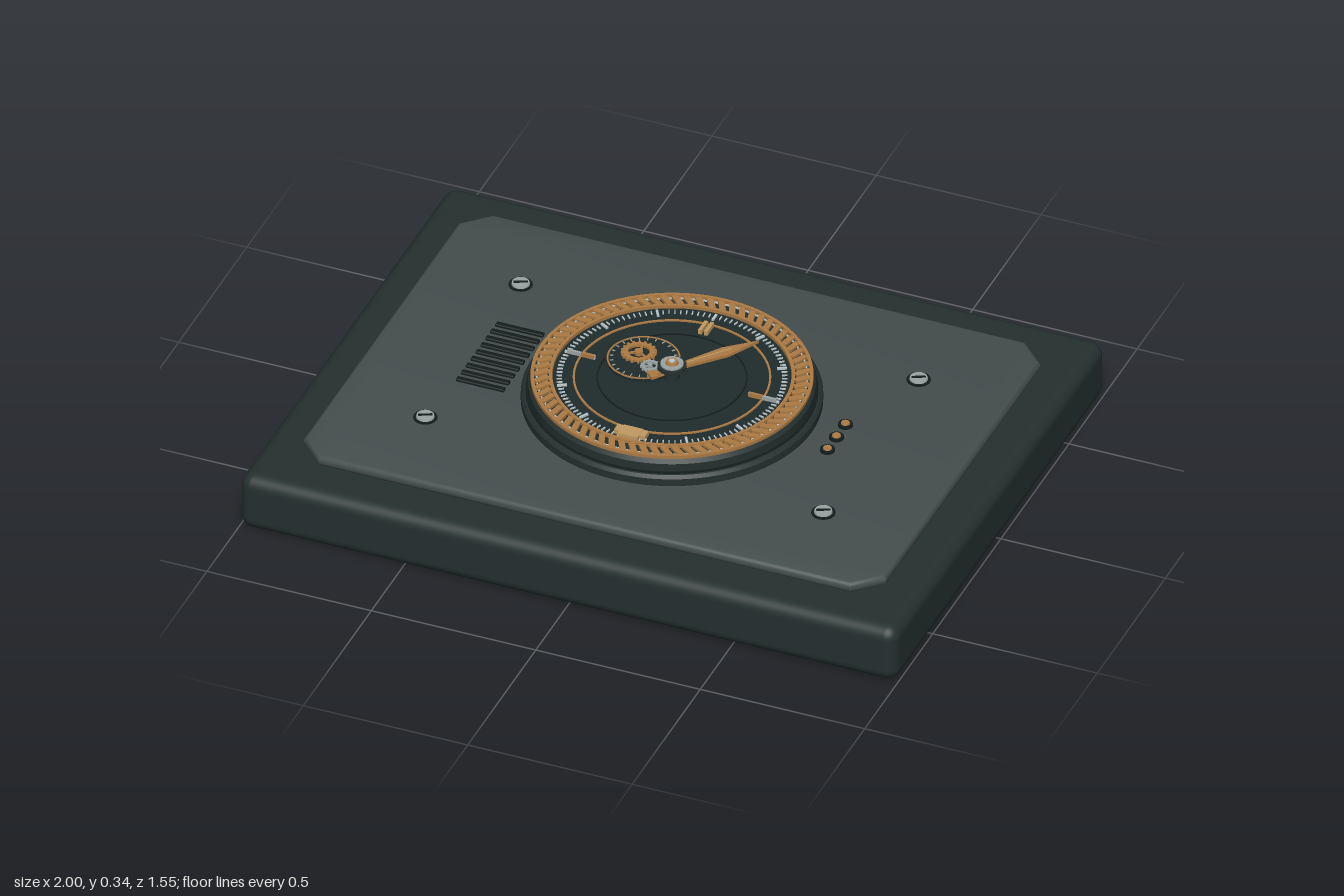
import * as THREE from 'three';
import { toCreasedNormals } from 'three/addons/utils/BufferGeometryUtils.js';
import { RoundedBoxGeometry } from 'three/addons/geometries/RoundedBoxGeometry.js';

const mat = (name, color) => new THREE.MeshStandardMaterial({ name, color });

export function createModel() {
  const caseDark = mat('dark case', 0x24302f);
  const panelGrey = mat('panel grey', 0x444e4d);
  const dialDark = mat('dial', 0x1f2b2c);
  const black = mat('recess black', 0x151c1c);
  const brass = mat('brass', 0xab7a43);
  const paleBrass = mat('pale brass', 0xc09a62);
  const steel = mat('steel', 0x9aa3a3);
  const pale = mat('pale tick', 0xb9c6cb);

  const model = new THREE.Group();
  const add = (name, geo, material, x = 0, y = 0, z = 0, ry = 0, parent = model) => {
    const m = new THREE.Mesh(geo, material);
    m.name = name;
    m.position.set(x, y, z);
    m.rotation.y = ry;
    parent.add(m);
    return m;
  };
  const box = (w, h, d) => new THREE.BoxGeometry(w, h, d);
  const disc = (r, h, n = 32, r2 = r) => new THREE.CylinderGeometry(r2, r, h, n);
  // Lathed profile with crisp edges
  const lathe = (pts, n = 96) => toCreasedNormals(
    new THREE.LatheGeometry(pts.map(p => new THREE.Vector2(...p)), n), 0.6);
  // Flat ring with a rectangular section, sitting on its local y = 0
  const ring = (ri, ro, h, n = 96) => lathe([[ri, 0], [ro, 0], [ro, h], [ri, h], [ri, 0]], n);
  // Outline in x and -z, raised along y
  const slab = (shape, h, bevel = 0) => {
    const g = new THREE.ExtrudeGeometry(shape, {
      depth: h - 2 * bevel, bevelEnabled: bevel > 0, bevelSize: bevel,
      bevelThickness: bevel, bevelOffset: -bevel, bevelSegments: 3, curveSegments: 16 });
    g.translate(0, 0, bevel).rotateX(-Math.PI / 2);
    return toCreasedNormals(g, 0.6);
  };
  const poly = pts => new THREE.Shape(pts.map(p => new THREE.Vector2(...p)));
  // Repeat a part round a centre; angle 0 points to -z, clockwise from above
  const around = (name, n, r, geo, material, y, skew = 0, cx = 0, cz = 0) => {
    const g = new THREE.Group();
    g.name = name;
    for (let i = 0; i < n; i++) {
      const a = i / n * Math.PI * 2;
      add(name + 'Piece', geo, material, cx + r * Math.sin(a), y, cz - r * Math.cos(a), skew - a, g);
    }
    model.add(g);
  };

  // Case and chamfered top panel
  add('case', new RoundedBoxGeometry(2, 0.18, 1.55, 4, 0.04), caseDark, 0, 0.09, 0);
  const W = 0.885, D = 0.64, C = 0.075;
  add('topPanel', slab(poly([[-W + C, -D], [W - C, -D], [W, -D + C], [W, D - C],
    [W - C, D], [-W + C, D], [-W, D - C], [-W, -D + C]]), 0.035, 0.014), panelGrey, 0, 0.176, 0);

  // Stepped bezel
  add('bezel', lathe([[0.425, 0.2], [0.425, 0.234], [0.417, 0.243], [0.405, 0.245],
    [0.405, 0.272], [0.396, 0.284], [0.385, 0.286], [0.34, 0.286], [0.33, 0.28], [0, 0.28]]), caseDark);
  add('bezelShadowGap', ring(0.405, 0.412, 0.003), black, 0, 0.244, 0);
  add('dialFace', disc(0.335, 0.006, 96), dialDark, 0, 0.281, 0);

  // Brass chapter ring with slanted knurling
  add('outerBrassRing', ring(0.388, 0.398, 0.01), brass, 0, 0.285, 0);
  add('innerBrassRing', ring(0.336, 0.346, 0.01), brass, 0, 0.285, 0);
  add('paleRing', ring(0.378, 0.382, 0.004), pale, 0, 0.286, 0);
  around('knurl', 72, 0.367, box(0.018, 0.008, 0.046), brass, 0.29, 0.5);

  // Dial rings and ticks
  add('minuteBrassRing', ring(0.273, 0.279, 0.005), brass, 0, 0.283, 0);
  add('faintDialRing', ring(0.208, 0.212, 0.003), black, 0, 0.283, 0);
  around('minuteTicks', 120, 0.317, box(0.0035, 0.004, 0.016), pale, 0.286);
  around('hourTicks', 12, 0.312, box(0.007, 0.006, 0.028), pale, 0.287);

  // Quarter markers
  for (const s of [-1, 1]) {
    add('topMarkerBar', box(0.011, 0.016, 0.05), paleBrass, s * 0.009, 0.29, -0.25);
    add('sideMarker', box(0.085, 0.012, 0.008), steel, s * 0.275, 0.29, 0);
    add('sideMarkerInlay', box(0.04, 0.014, 0.009), brass, s * 0.255, 0.29, 0);
    add('lowerPlateEnd', box(0.022, 0.014, 0.03), paleBrass, s * 0.036, 0.291, 0.298);
  }
  add('lowerPlate', box(0.06, 0.016, 0.046), paleBrass, 0, 0.291, 0.304);

  // Small side dial with two gears
  const sx = -0.105, sz = -0.045;
  add('subDial', disc(0.104, 0.012, 48), dialDark, sx, 0.288, sz);
  add('subDialRing', ring(0.099, 0.104, 0.003, 48), brass, sx, 0.293, sz);
  around('subDialTicks', 24, 0.091, box(0.003, 0.003, 0.01), steel, 0.295, 0, sx, sz);
  const gear = (name, x, z, r, teeth, material) => {
    add(name + 'Rim', ring(r * 0.62, r * 0.88, 0.008, 32), material, x, 0.296, z);
    add(name + 'Hub', disc(r * 0.25, 0.012, 16), material, x, 0.3, z);
    around(name + 'Teeth', teeth, r * 0.92, box(r * 0.14, 0.008, r * 0.2), material, 0.3, 0, x, z);
    around(name + 'Spokes', 3, r * 0.42, box(r * 0.12, 0.006, r * 0.5), material, 0.3, 0, x, z);
  };
  gear('largeGear', -0.125, -0.058, 0.05, 18, brass);
  gear('smallGear', -0.07, -0.008, 0.028, 12, steel);

  // Pointer with tail, then the stacked hub
  const pointer = new THREE.Group();
  pointer.name = 'pointer';
  pointer.position.y = 0.31;
  pointer.rotation.y = -0.685;
  model.add(pointer);
  add('pointerBlade', slab(poly([[-0.008, 0], [0.008, 0], [0.02, 0.17], [0, 0.277], [-0.02, 0.17]]),
    0.009), brass, 0, 0, 0, 0, pointer);
  add('pointerRidge', box(0.004, 0.004, 0.14), paleBrass, 0, 0.01, -0.12, 0, pointer);
  add('pointerTail', box(0.013, 0.009, 0.06), brass, 0, 0.0045, 0.035, 0, pointer);
  add('pointerWeight', box(0.032, 0.009, 0.022), brass, 0, 0.0045, 0.062, 0, pointer);
  add('hubPost', disc(0.022, 0.05, 24), caseDark, 0, 0.303, 0);
  add('hubCollar', disc(0.041, 0.011, 32), caseDark, 0, 0.325, 0);
  add('hubRing', ring(0.019, 0.033, 0.005, 32), steel, 0, 0.33, 0);
  add('hubCap', disc(0.021, 0.014, 24, 0.017), brass, 0, 0.334, 0);
  add('hubPin', disc(0.01, 0.006, 6), pale, 0, 0.341, 0);

  // Corner screws
  for (const x of [-0.605, 0.605]) for (const z of [-0.35, 0.35]) {
    add('screwSeat', disc(0.034, 0.006), black, x, 0.212, z);
    add('screwHead', disc(0.028, 0.012, 32, 0.025), steel, x, 0.215, z);
    add('screwSlot', box(0.04, 0.003, 0.008), black, x, 0.2215, z, 0.45);
  }

  // Vent bars on the right
  for (let i = 0; i < 9; i++)
    add('ventBar', new RoundedBoxGeometry(0.146, 0.014, 0.018, 2, 0.004), black,
      -0.522, 0.212, -0.144 + i * 0.036);

  // Three indicator studs on the left
  for (const z of [-0.066, 0, 0.066]) {
    add('studSeat', disc(0.021, 0.012, 24), black, 0.5, 0.213, z);
    add('stud', disc(0.015, 0.012, 24, 0.012), brass, 0.5, 0.217, z);
  }
  return model;
}
